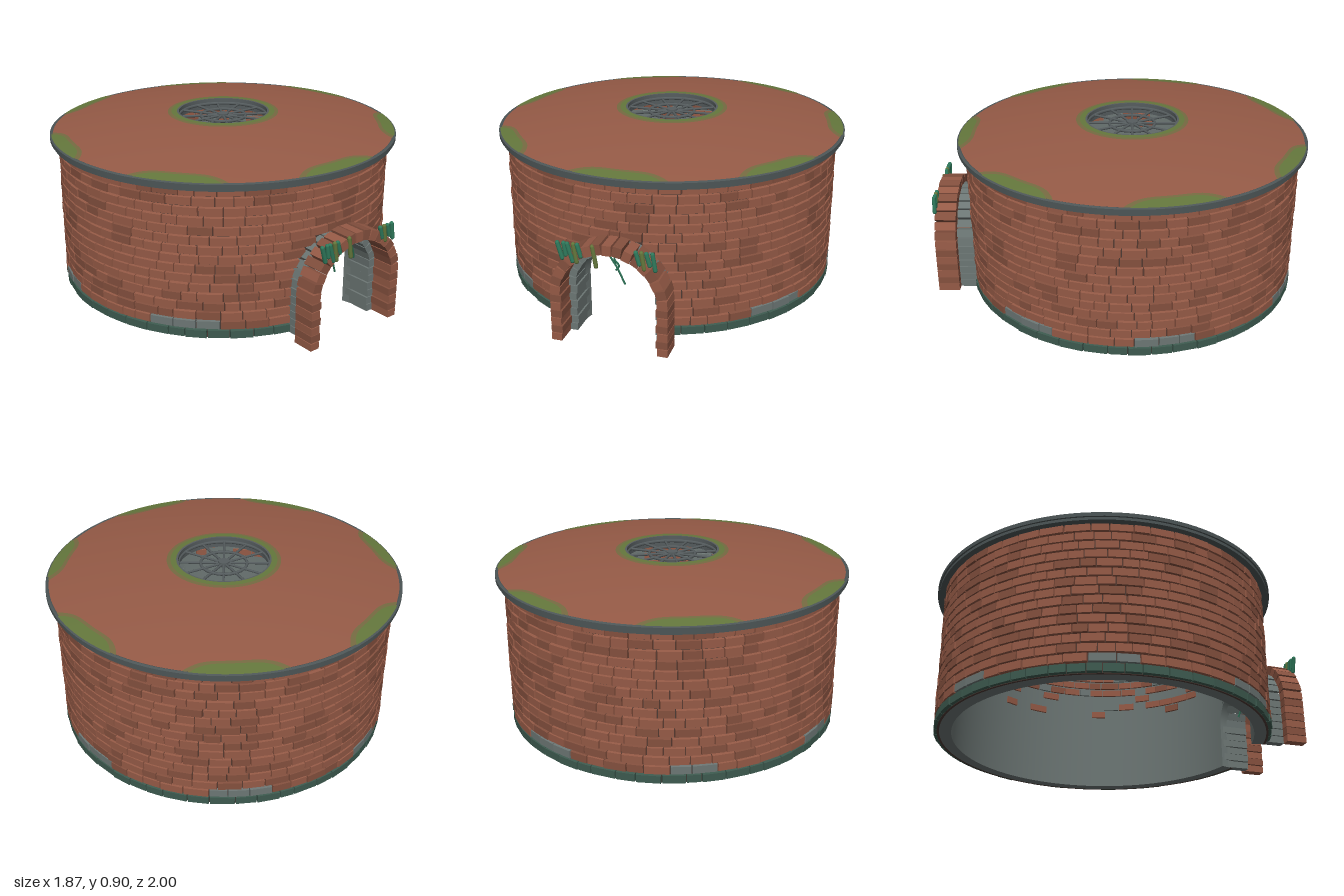
import * as THREE from 'three';
import { mergeGeometries, toCreasedNormals } from 'three/addons/utils/BufferGeometryUtils.js';

const material = (name, color, side = THREE.FrontSide) => {
  const m = new THREE.MeshStandardMaterial({ color, side });
  m.name = name;
  return m;
};

const ROWS = 16, WALL_TOP = 0.79, ROW_H = WALL_TOP / ROWS;
const SPRING = 0.25, DOOR = 0.21, ROOF_R = 0.925;

// half width of the doorway at height y
const doorHalf = (y, r) => (y < SPRING ? r : Math.sqrt(Math.max(0, r * r - (y - SPRING) ** 2)));
// height of the shallow dome at radius r
const roofY = (r) => 0.82 + 0.087 * (1 - (r / ROOF_R) ** 2);

// block whose front (+z) face is chamfered smaller
function block(w, h, d, sx = 0.97, sy = 0.84) {
  const g = new THREE.BoxGeometry(w, h, d);
  const p = g.attributes.position;
  for (let i = 0; i < p.count; i++) {
    if (p.getZ(i) > 0) p.setXY(i, p.getX(i) * sx, p.getY(i) * sy);
  }
  g.computeVertexNormals();
  return g;
}

// ring wall with an arched doorway, swept from rectangular sections
function shell(ri, ro) {
  const stations = [], ad = Math.asin(DOOR / 0.87);
  for (let i = 0; i <= 20; i++) {
    const a = ad * Math.sin((i / 10 - 1) * Math.PI / 2);
    stations.push([a, SPRING + doorHalf(SPRING + 0, DOOR) * Math.sqrt(Math.max(0, 1 - (Math.sin(a) * 0.87 / DOOR) ** 2))]);
  }
  for (let i = 0; i <= 110; i++) stations.push([ad + (2 * Math.PI - 2 * ad) * i / 110, 0]);
  const pos = [], idx = [], n = stations.length;
  stations.forEach(([a, y], s) => {
    for (const [r, h] of [[ri, y], [ro, y], [ro, WALL_TOP], [ri, WALL_TOP]]) {
      pos.push(r * Math.sin(a), h, r * Math.cos(a));
    }
    const t = (s + 1) % n;
    for (let j = 0; j < 4; j++) {
      const k = (j + 1) % 4;
      idx.push(s * 4 + j, t * 4 + j, t * 4 + k, s * 4 + j, t * 4 + k, s * 4 + k);
    }
  });
  const g = new THREE.BufferGeometry();
  g.setAttribute('position', new THREE.Float32BufferAttribute(pos, 3));
  g.setIndex(idx);
  return toCreasedNormals(g, 0.5);
}

const lathe = (points) =>
  toCreasedNormals(new THREE.LatheGeometry(points.map(([r, y]) => new THREE.Vector2(r, y)), 112), 0.4);

// moss lying on the dome, growing inwards from the eaves
function mossPatch(angle, half, depth, lift) {
  const g = new THREE.PlaneGeometry(1, 1, 20, 4), p = g.attributes.position;
  for (let i = 0; i < p.count; i++) {
    const t = p.getX(i) * 2, v = p.getY(i) + 0.5;
    const r = ROOF_R - depth * (1 - Math.abs(t) ** 4) * v;
    const a = angle + t * half;
    p.setXYZ(i, r * Math.sin(a), roofY(r) + lift, r * Math.cos(a));
  }
  g.computeVertexNormals();
  return g;
}

export function createModel() {
  const brick = material('brick', 0x955a46);
  const darkBrick = material('dark brick', 0x84503e);
  const mortar = material('dark mortar', 0x4b3a34);
  const stone = material('grey stone', 0x6c7674);
  const trim = material('dark stone trim', 0x4c5556);
  const damp = material('damp green stone', 0x3d5a4f);
  const moss = material('moss', 0x64773c, THREE.DoubleSide);
  const mossEdge = material('moss edge', 0x756a41, THREE.DoubleSide);
  const vine = material('vine green', 0x2f7a5c);
  const iron = material('iron', 0x565d5f);

  let seed = 7;
  const rnd = () => (seed = (seed * 16807) % 2147483647) / 2147483647;

  const model = new THREE.Group();
  const drum = new THREE.Group();
  drum.name = 'roundBuilding';
  drum.position.z = -0.067;
  const entrance = new THREE.Group();
  entrance.name = 'entrance';
  model.add(drum, entrance);

  const add = (parent, name, geo, mat) => {
    const m = new THREE.Mesh(geo, mat);
    m.name = name;
    parent.add(m);
    return m;
  };
  const addBuckets = (parent, name, buckets) =>
    buckets.forEach((list, mat) => add(parent, name, mergeGeometries(list), mat));
  const put = (buckets, mat, geo) => {
    if (!buckets.has(mat)) buckets.set(mat, []);
    buckets.get(mat).push(geo);
  };

  // wall core
  add(drum, 'innerWall', shell(0.80, 0.862), stone);
  add(drum, 'mortarBacking', shell(0.862, 0.874), mortar);

  // brick courses outside, and exposed bricks showing through inside
  const outer = new Map(), inner = new Map();
  for (let row = 0; row < ROWS; row++) {
    const y = row * ROW_H, yc = y + ROW_H / 2;
    const half = doorHalf(y, 0.225);
    const start = y < SPRING + 0.225 ? Math.asin(half / 0.88) : rnd() * 0.1;
    const end = 2 * Math.PI - (y < SPRING + 0.225 ? start : -start);
    for (let a = start; a < end - 0.01;) {
      let len = 0.08 + rnd() * 0.07;
      if (end - a - len < 0.05) len = end - a;
      const c = a + len / 2, jut = rnd() * 0.006;
      let mat = rnd() < 0.75 ? brick : darkBrick;
      if (row === 0) mat = damp;
      if (row === 1 && Math.cos(7 * c) > 0.35) mat = stone;
      const b = block(len * 0.885 - 0.003, ROW_H - 0.002, 0.028);
      b.translate(0, yc, 0.873 + jut).rotateY(c);
      put(outer, mat, b);
      const density = (yc - 0.42) / 0.25;
      if (rnd() < density) {
        const f = block(len * 0.8 - 0.003, ROW_H - 0.004, 0.016);
        f.rotateY(Math.PI).translate(0, yc, 0.799).rotateY(c);
        put(inner, rnd() < 0.12 ? stone : mat, f);
      }
      a += len;
    }
  }
  addBuckets(drum, 'outerBricks', outer);
  addBuckets(drum, 'exposedInnerBricks', inner);

  // roof dome with its round opening, eaves band and collar
  const dome = [[0.25, 0.85], [0.6, 0.825], [0.86, 0.788], [ROOF_R, 0.8]];
  for (let i = 0; i <= 12; i++) {
    const r = ROOF_R - (ROOF_R - 0.25) * i / 12;
    dome.push([r, roofY(r)]);
  }
  dome.push([0.25, 0.85]);
  add(drum, 'roofDome', lathe(dome), brick);
  add(drum, 'eavesLowerBand', lathe([[0.86, 0.783], [0.924, 0.783], [0.924, 0.803], [0.86, 0.803], [0.86, 0.783]]), trim);
  add(drum, 'eavesUpperBand', lathe([[0.9, 0.798], [0.933, 0.798], [0.933, 0.819], [0.922, 0.824], [0.9, 0.815], [0.9, 0.798]]), trim);
  add(drum, 'skylightCollar', lathe([[0.24, 0.845], [0.252, 0.845], [0.252, 0.902], [0.24, 0.902], [0.24, 0.845]]), iron);

  // moss round the skylight and at seven spots along the eaves
  const ring = (r1, lift) => lathe([[r1, roofY(r1) + lift], [0.25, roofY(0.25) + lift]]);
  add(drum, 'skylightMossEdge', ring(0.30, 0.0015), mossEdge);
  add(drum, 'skylightMoss', ring(0.28, 0.003), moss);
  for (let i = 0; i < 7; i++) {
    const a = i * 2 * Math.PI / 7;
    add(drum, 'eavesMossEdge', mossPatch(a, 0.275, 0.085, 0.002), mossEdge);
    add(drum, 'eavesMoss', mossPatch(a, 0.235, 0.066, 0.004), moss);
  }

  // wheel-shaped skylight grille
  const bars = [];
  for (const [r, t] of [[0.24, 0.009], [0.122, 0.008]]) {
    bars.push(new THREE.TorusGeometry(r, t, 6, 48).rotateX(Math.PI / 2));
  }
  for (let i = 0; i < 12; i++) {
    bars.push(new THREE.CylinderGeometry(0.007, 0.007, 0.24, 6)
      .rotateX(Math.PI / 2).translate(0, 0, 0.12).rotateY(i * Math.PI / 6));
  }
  bars.push(new THREE.CylinderGeometry(0.03, 0.03, 0.025, 16));
  add(drum, 'skylightGrille', mergeGeometries(bars), iron).position.y = 0.875;

  // doorway: grey inner lining and projecting brick porch arch
  const door = new Map();
  const addArch = (r0, r1, z0, z1, count, mats) => {
    const w = r1 - r0, rm = (r0 + r1) / 2, zc = (z0 + z1) / 2, h = SPRING / 6;
    for (const s of [-1, 1]) {
      for (let i = 0; i < 6; i++) {
        const wide = (i % 2) * 0.006;
        put(door, mats[i % 2], block(w + wide, h - 0.003, z1 - z0, 0.98, 0.96)
          .translate(s * (rm - wide / 2), (i + 0.5) * h, zc));
      }
    }
    const step = Math.PI / count;
    for (let i = 0; i < count; i++) {
      const g = block(rm * step * 0.9, w, z1 - z0, 0.98, 0.97);
      g.translate(0, rm + (i % 2) * 0.003, zc).rotateZ((i + 0.5) * step - Math.PI / 2).translate(0, SPRING, 0);
      put(door, mats[i % 2], g);
    }
  };
  addArch(0.203, 0.248, 0.715, 0.875, 15, [stone, stone]);
  addArch(0.24, 0.293, 0.875, 0.988, 17, [brick, darkBrick]);
  addBuckets(entrance, 'doorwayArch', door);

  // leaf clumps hanging on the porch face
  const clumps = [[-0.23, 0.10], [-0.205, 0.08], [-0.18, 0.11], [-0.155, 0.11], [-0.135, 0.08],
    [-0.06, 0.12], [0.15, 0.08], [0.175, 0.10], [0.20, 0.08], [0.228, 0.10]];
  clumps.forEach(([x, len], i) => {
    const leaf = new THREE.CapsuleGeometry(0.011, len - 0.022, 4, 8);
    leaf.rotateZ(i % 2 ? 0.16 : 0.28).translate(x, 0.54 - len / 2, 0.986);
    add(entrance, 'hangingLeaves', leaf, i === 5 || i === 3 || i === 7 ? moss : vine);
  });

  // thin vines trailing under the arch
  const trails = [
    [[-0.07, 0.5], [-0.04, 0.41], [-0.01, 0.35], [0.025, 0.26]],
    [[0.01, 0.46], [-0.02, 0.4], [0.0, 0.36], [-0.02, 0.33]],
    [[0.1, 0.45], [0.115, 0.39], [0.14, 0.34], [0.155, 0.3]],
  ];
  for (const pts of trails) {
    const curve = new THREE.CatmullRomCurve3(pts.map(([x, y], i) => new THREE.Vector3(x, y, 0.84 - i * 0.01)));
    add(entrance, 'trailingVine', new THREE.TubeGeometry(curve, 16, 0.005, 5), vine);
  }

  return model;
}
